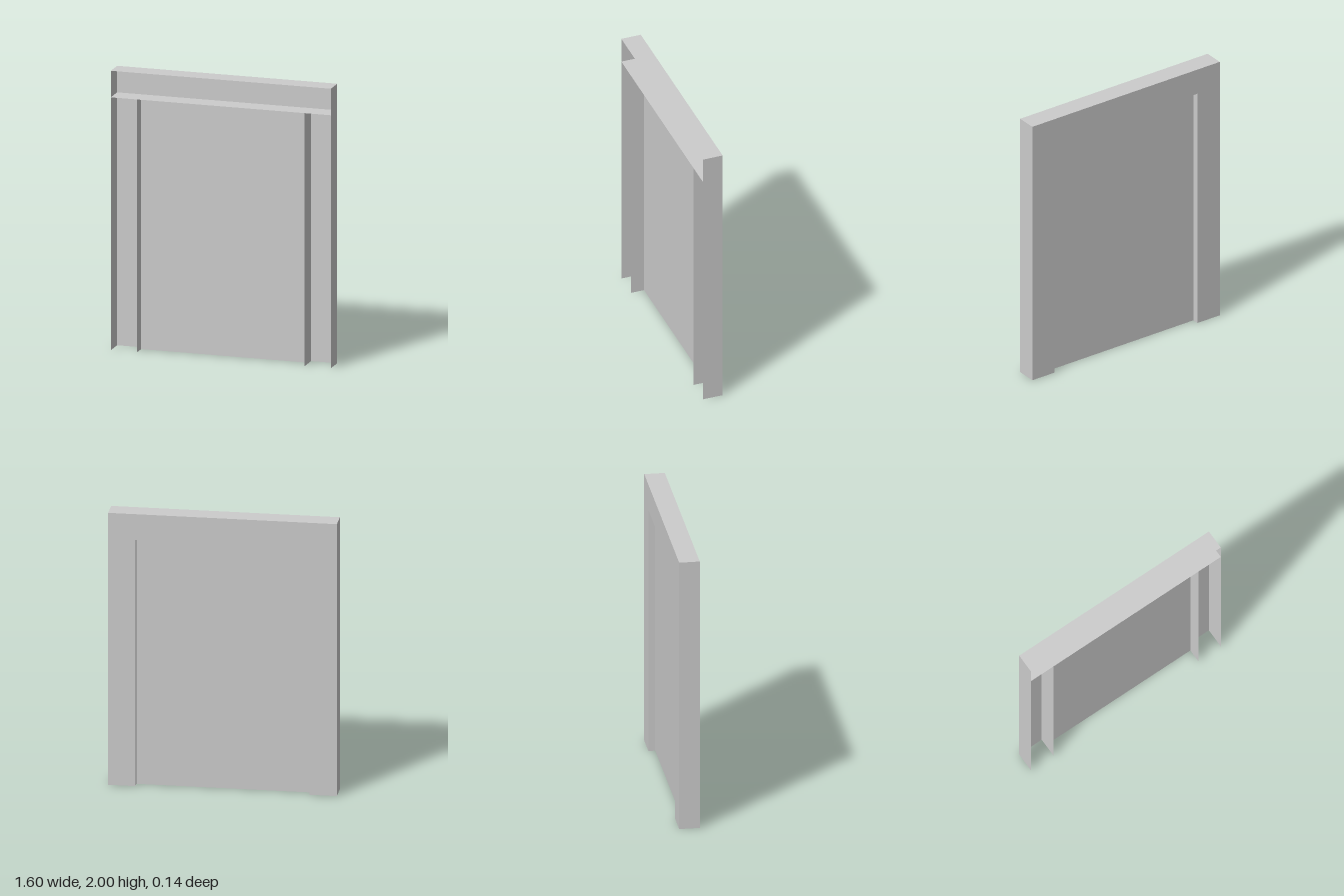
import * as THREE from 'three';

const W = 0.8, H = 2, D = 0.072;   // outer half width, height, half depth
const OW = 0.61, OH = 1.81;        // opening half width and height
const PANEL_Z = -0.024;

export function createModel() {
  const group = new THREE.Group();
  const material = new THREE.MeshStandardMaterial({ color: 0xcccccc, side: THREE.DoubleSide });

  function add(name, geometry, x = 0, y = 0, z = 0) {
    const mesh = new THREE.Mesh(geometry, material);
    mesh.name = name;
    mesh.position.set(x, y, z);
    group.add(mesh);
  }

  // Back face: an upside-down U around the doorway
  const outline = new THREE.Shape([
    [-W, 0], [-OW, 0], [-OW, OH], [OW, OH], [OW, 0], [W, 0], [W, H], [-W, H],
  ].map(([x, y]) => new THREE.Vector2(x, y)));
  add('backFace', new THREE.ShapeGeometry(outline).rotateY(Math.PI), 0, 0, -D);

  // Upright sheets: outer sides and doorway jambs
  for (const [side, s] of [['left', 1], ['right', -1]]) {
    add(side + 'Side', new THREE.PlaneGeometry(2 * D, H).rotateY(s * Math.PI / 2), s * W, H / 2);
    add(side + 'Jamb', new THREE.PlaneGeometry(2 * D, OH).rotateY(-s * Math.PI / 2), s * OW, OH / 2);
  }

  // Level sheets: top and full-width lintel
  add('top', new THREE.PlaneGeometry(2 * W, 2 * D).rotateX(-Math.PI / 2), 0, H);
  add('lintel', new THREE.PlaneGeometry(2 * W, 2 * D).rotateX(Math.PI / 2), 0, OH);

  // Recessed door panel
  add('doorPanel', new THREE.PlaneGeometry(2 * OW, OH), 0, OH / 2, PANEL_Z);

  return group;
}
